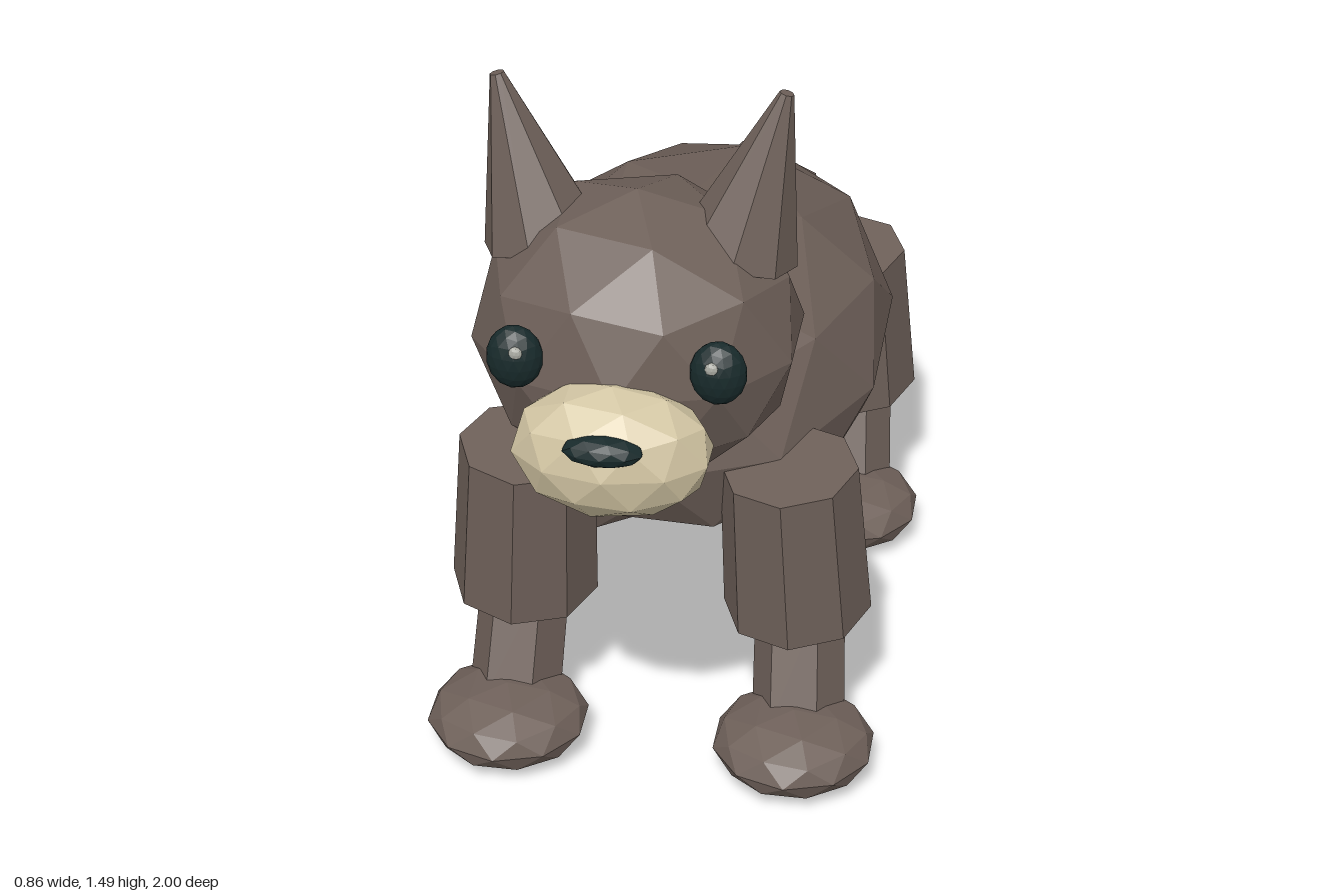
import * as THREE from 'three';

const V = (x, y, z) => new THREE.Vector3(x, y, z);

const mat = (name, color) => {
  const m = new THREE.MeshStandardMaterial({ color, flatShading: true });
  m.name = name;
  return m;
};

export function createModel() {
  const model = new THREE.Group();
  model.name = 'dog';

  const fur = mat('brown fur', 0x6e6059);
  const cream = mat('cream muzzle', 0xd2c5a3);
  const dark = mat('dark eye', 0x182a2b);
  const shine = mat('eye shine', 0xa9aaa2);

  // Low-poly ball standing on a vertex, so its equator is a decagon
  const ball = (name, material, center, radii, detail = 1, parent = model) => {
    const g = new THREE.IcosahedronGeometry(1, detail);
    g.rotateX(-Math.atan((1 + Math.sqrt(5)) / 2));
    g.rotateY(Math.PI / 2);
    g.scale(...radii);
    const mesh = new THREE.Mesh(g, material);
    mesh.name = name;
    mesh.position.copy(center);
    parent.add(mesh);
    return mesh;
  };

  // Tapered prism running from a bottom point to a top point
  const limb = (name, bottom, top, rBottom, rTop, sides, turn = 0, parent = model) => {
    const dir = top.clone().sub(bottom);
    const g = new THREE.CylinderGeometry(rTop, rBottom, dir.length(), sides, 1, false, turn);
    const mesh = new THREE.Mesh(g, fur);
    mesh.name = name;
    mesh.position.copy(bottom).add(top).multiplyScalar(0.5);
    mesh.quaternion.setFromUnitVectors(V(0, 1, 0), dir.normalize());
    parent.add(mesh);
    return mesh;
  };

  // Body and head
  ball('body', fur, V(0, 0.632, -0.07), [0.395, 0.313, 0.57]);
  ball('head', fur, V(0, 1.03, 0.6), [0.3, 0.275, 0.275]);

  // Face
  ball('muzzle', cream, V(0, 0.945, 0.875), [0.18, 0.125, 0.115]);
  ball('nose', dark, V(0, 0.997, 0.965), [0.072, 0.027, 0.035]);

  for (const s of [1, -1]) {
    const side = s > 0 ? 'left' : 'right';
    ball(side + 'Eye', dark, V(s * 0.177, 1.085, 0.828), [0.05, 0.06, 0.036], 2);
    ball(side + 'EyeShine', shine, V(s * 0.17, 1.108, 0.856), [0.013, 0.013, 0.008]);
    limb(side + 'Ear', V(s * 0.175, 1.19, 0.578), V(s * 0.253, 1.488, 0.555), 0.108, 0.013, 8);

    // Legs: thigh, shin and flat paw
    for (const [end, dz] of [['Front', 0], ['Hind', -0.835]]) {
      const leg = new THREE.Group();
      leg.name = side + end + 'Leg';
      leg.position.z = dz;
      model.add(leg);
      limb('upperLeg', V(s * 0.267, 0.303, 0.381), V(s * 0.25, 0.633, 0.408), 0.143, 0.131, 8, 0, leg);
      limb('lowerLeg', V(s * 0.28, 0.08, 0.445), V(s * 0.27, 0.3, 0.36), 0.09, 0.087, 6, Math.PI / 2, leg);
      ball('paw', fur, V(s * 0.28, 0.073, 0.515), [0.158, 0.073, 0.155], 1, leg);
    }
  }

  // Tail in two bent segments
  limb('tailBase', V(0, 0.645, -0.58), V(0, 0.592, -0.82), 0.067, 0.043, 6);
  limb('tailTip', V(0, 0.6, -0.79), V(0.1, 0.47, -0.975), 0.07, 0.045, 6);

  return model;
}
